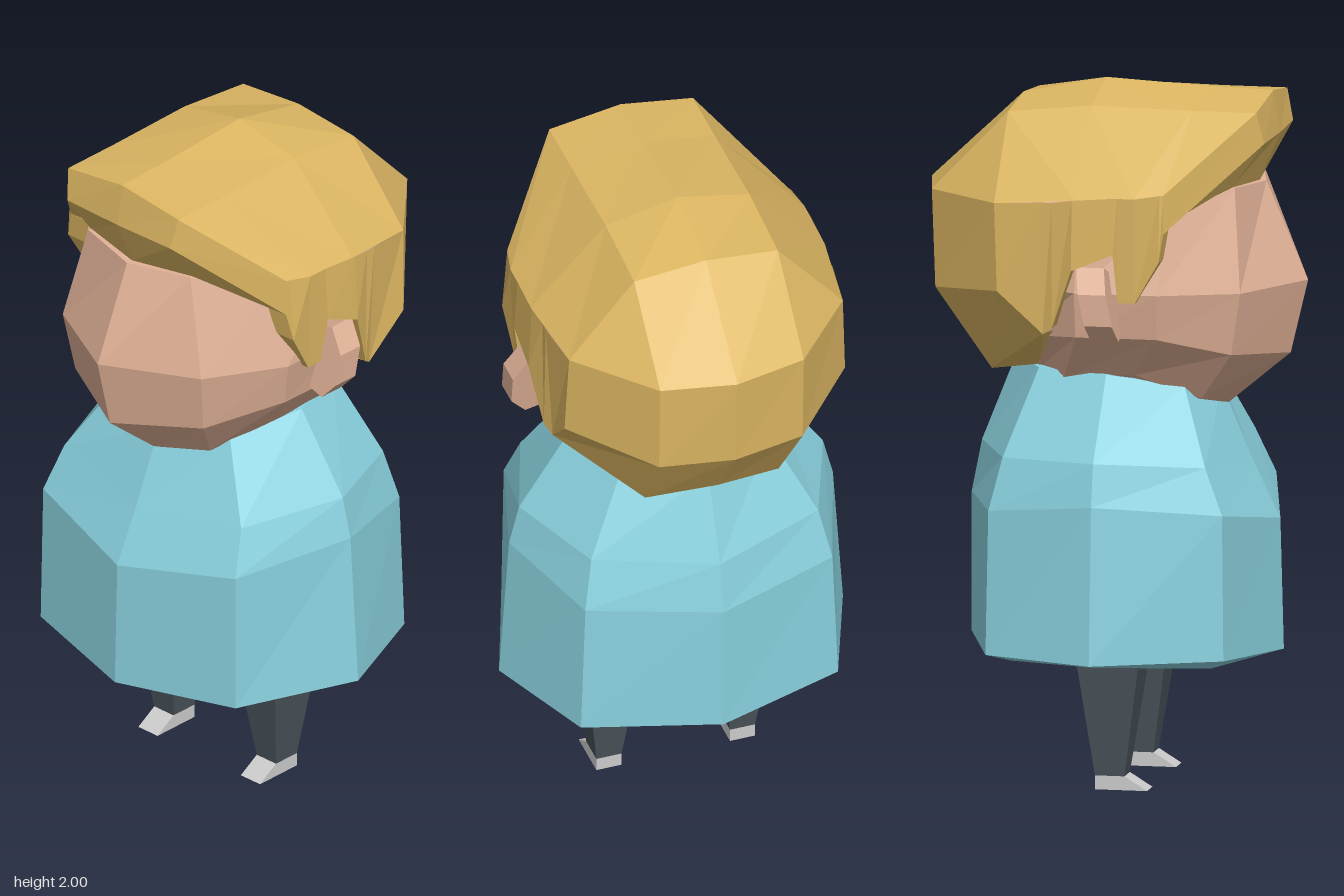
import * as THREE from 'three';

const material = (color, side = THREE.FrontSide) =>
  new THREE.MeshStandardMaterial({ color, flatShading: true, side });

// Faceted surface through neighbouring lines of points: lines[i][j] = [x, y, z]
function surface(lines) {
  const pos = [];
  for (let i = 0; i < lines.length - 1; i++) {
    for (let j = 0; j < lines[i].length - 1; j++) {
      const a = lines[i][j], b = lines[i + 1][j], c = lines[i + 1][j + 1], d = lines[i][j + 1];
      pos.push(...a, ...b, ...c, ...a, ...c, ...d);
    }
  }
  const g = new THREE.BufferGeometry();
  g.setAttribute('position', new THREE.Float32BufferAttribute(pos, 3));
  g.computeVertexNormals();
  return g;
}

const flip = ([x, y, z]) => [-x, y, z];

// Closed, capped solid from half rings (front centre, round +x, to back centre), bottom to top
function loft(halfRings, topY) {
  const rings = halfRings.map(h => [...h, ...h.slice(1, -1).reverse().map(flip), h[0]]);
  const n = rings[0].length;
  const cap = (r, y) => {
    const z = (r[0][2] + r[halfRings[0].length - 1][2]) / 2;
    return Array.from({ length: n }, () => [0, y, z]);
  };
  const all = [cap(rings[0], rings[0][0][1]), ...rings, cap(rings[rings.length - 1], topY)];
  return surface(rings[0].map((_, i) => all.map(r => r[i])));
}

// Box whose corners are moved: [width, zBack, zFront, y] at bottom and top
function taperedBox(bottom, top) {
  const g = new THREE.BoxGeometry(1, 1, 1);
  const p = g.attributes.position;
  for (let i = 0; i < p.count; i++) {
    const [w, zb, zf, y] = p.getY(i) < 0 ? bottom : top;
    p.setXYZ(i, p.getX(i) * w, y, p.getZ(i) < 0 ? zb : zf);
  }
  g.computeVertexNormals();
  return g;
}

export function createModel() {
  const model = new THREE.Group();
  const skin = material(0xe0b196);
  const hair = material(0xdcb662, THREE.DoubleSide);
  const cloth = material(0x8ad2df);
  const trousers = material(0x4a545c);
  const grey = material(0xcccccc);
  const add = (name, geometry, mat, parent = model) => {
    const m = new THREE.Mesh(geometry, mat);
    m.name = name;
    parent.add(m);
    return m;
  };

  // Bell-shaped eight-sided coat
  add('coat', loft([
    [[0, .378, .43], [.33, .375, .33], [.42, .38, .015], [.32, .375, -.25], [0, .38, -.35]],
    [[0, .38, .47], [.38, .405, .375], [.515, .4, .015], [.385, .4, -.31], [0, .4, -.43]],
    [[0, .755, .46], [.375, .82, .37], [.485, .85, .015], [.37, .81, -.305], [0, .8, -.43]],
    [[0, .91, .385], [.345, .95, .315], [.455, .97, .015], [.34, .96, -.27], [0, .95, -.4]],
    [[0, 1.13, .29], [.22, 1.16, .23], [.3, 1.2, .02], [.22, 1.2, -.19], [0, 1.2, -.3]],
  ], 1.2), cloth);

  // Head
  add('head', loft([
    [[0, 1.08, .31], [.18, 1.12, .27], [.29, 1.2, .1], [.26, 1.18, -.11], [.16, 1.19, -.2], [0, 1.19, -.28]],
    [[0, 1.23, .49], [.25, 1.26, .37], [.385, 1.32, .18], [.39, 1.32, -.05], [.26, 1.3, -.24], [0, 1.3, -.37]],
    [[0, 1.44, .54], [.27, 1.44, .4], [.41, 1.45, .19], [.41, 1.45, -.05], [.33, 1.45, -.28], [0, 1.45, -.45]],
    [[0, 1.72, .42], [.2, 1.73, .37], [.34, 1.67, .2], [.38, 1.68, -.04], [.33, 1.66, -.26], [0, 1.68, -.44]],
  ], 1.75), skin);

  // Hair cap: lines run from the fringe underside over the crown to the nape
  const hairGroup = new THREE.Group();
  hairGroup.name = 'hair';
  model.add(hairGroup);
  const centre = [[0, 1.72, .4], [0, 1.86, .46], [0, 1.98, .44], [0, 1.985, .25], [0, 2, -.04],
    [0, 1.95, -.28], [0, 1.7, -.545], [0, 1.42, -.53], [0, 1.22, -.38], [0, 1.23, -.25]];
  const inner = [[.2, 1.73, .36], [.2, 1.86, .455], [.215, 1.95, .435], [.215, 1.95, .25], [.215, 1.955, -.04],
    [.215, 1.93, -.28], [.215, 1.7, -.5], [.215, 1.42, -.49], [.2, 1.19, -.33], [.16, 1.2, -.2]];
  const outer = [[.34, 1.62, .19], [.42, 1.63, .21], [.42, 1.74, .21], [.44, 1.73, .13], [.44, 1.72, -.04],
    [.41, 1.7, -.28], [.41, 1.7, -.28], [.42, 1.45, -.27], [.41, 1.33, -.14], [.33, 1.33, -.12]];
  add('hairCap', surface([outer.map(flip), inner.map(flip), centre, inner, outer]), hair, hairGroup);

  // Sideburn and ear cut-out: lower edge, with the upper edge it hangs from
  const lower = [[.42, 1.63, .21], [.44, 1.55, .2], [.43, 1.43, .13], [.43, 1.43, .08], [.45, 1.57, .07],
    [.45, 1.52, -.05], [.425, 1.35, -.11], [.41, 1.33, -.14], [.42, 1.45, -.27]];
  const upper = [[.42, 1.74, .21], [.425, 1.74, .2], [.44, 1.73, .13], [.44, 1.73, .08], [.44, 1.73, .07],
    [.44, 1.72, -.05], [.43, 1.71, -.11], [.43, 1.71, -.14], [.41, 1.7, -.28]];
  const panel = lower.map((p, i) => [[p[0] - .07, p[1], p[2]], p, upper[i]]);
  add('hairSideLeft', surface(panel), hair, hairGroup);
  add('hairSideRight', surface(panel.map(l => l.map(flip)).reverse()), hair, hairGroup);

  // Ear outline seen from the front
  const earShape = new THREE.Shape([[.36, 1.34], [.44, 1.32], [.485, 1.37], [.487, 1.46], [.44, 1.53], [.36, 1.5]]
    .map(([x, y]) => new THREE.Vector2(x, y)));

  for (const s of [1, -1]) {
    const side = s > 0 ? 'left' : 'right';
    // Ear, leaning back towards its top
    const shape = s > 0 ? earShape
      : new THREE.Shape(earShape.getPoints().map(p => new THREE.Vector2(-p.x, p.y)).reverse());
    const ear = new THREE.ExtrudeGeometry(shape, { depth: .08, bevelEnabled: false });
    const p = ear.attributes.position;
    for (let i = 0; i < p.count; i++) p.setZ(i, p.getZ(i) - .015 - (p.getY(i) - 1.42) * .2);
    ear.computeVertexNormals();
    add(side + 'Ear', ear, skin);

    // Tapered leg and wedge foot
    add(side + 'Leg', taperedBox([.075, -.025, .06, .04], [.165, -.073, .112, .39]), trousers).position.x = s * .2;
    add(side + 'Foot', taperedBox([.075, -.025, .125, 0], [.075, -.025, .06, .04]), grey).position.x = s * .2;
  }
  return model;
}
